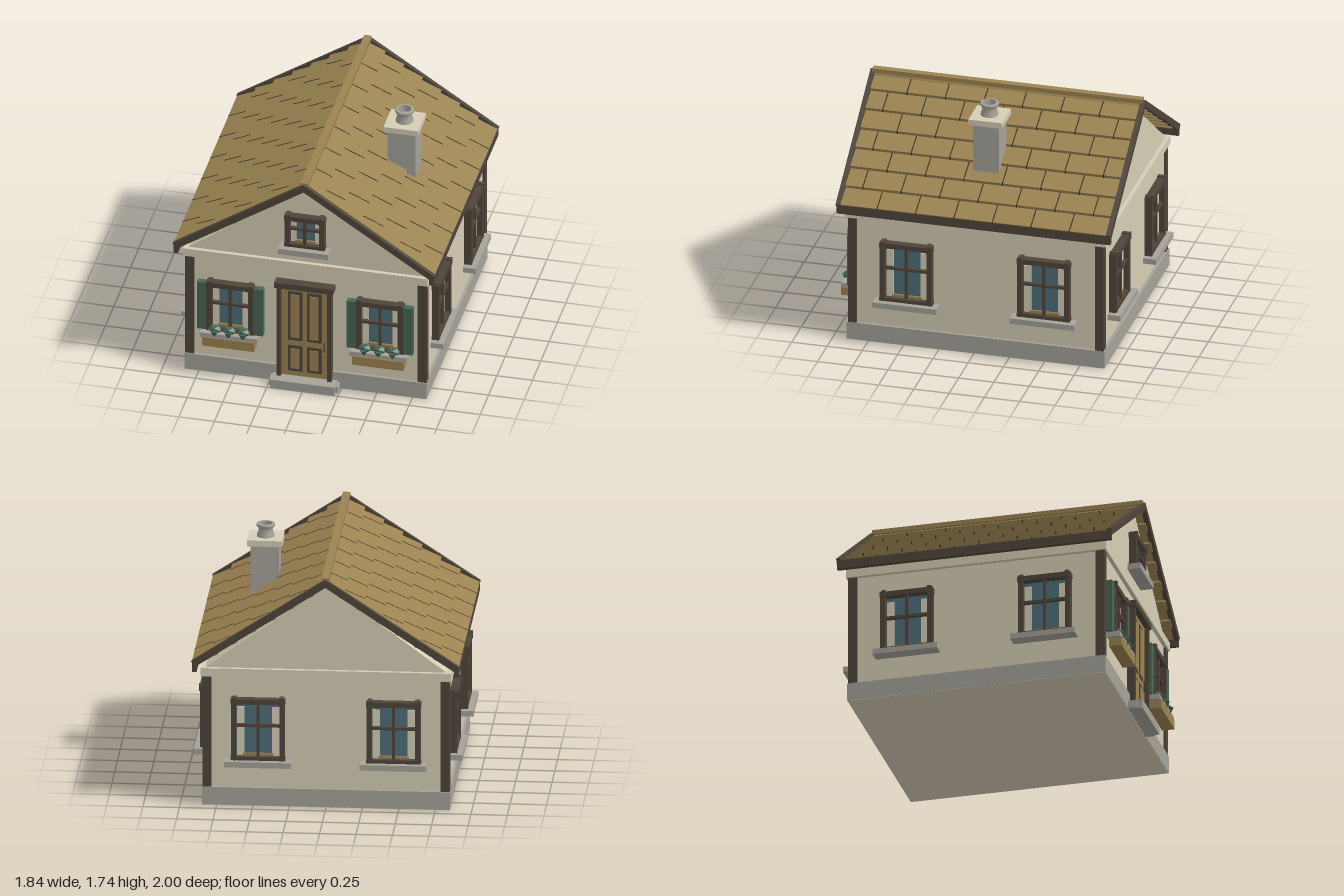
import * as THREE from 'three';

const mat = (name, color) => {
  const m = new THREE.MeshStandardMaterial({ color });
  m.name = name;
  return m;
};

const wallMat = mat('cream plaster', 0xd6cdb5);
const stoneMat = mat('grey stone', 0xa5a299);
const woodMat = mat('dark timber', 0x4f453a);
const tileMat = mat('ochre wood', 0x9b8351);
const glassMat = mat('blue glass', 0x4e6e7b);
const greenMat = mat('shutter green', 0x476656);
const seamMat = mat('roof seam', 0x3d3328);

// Box given by its extents on each axis
function box(parent, name, m, [x0, x1], [y0, y1], [z0, z1]) {
  const mesh = new THREE.Mesh(new THREE.BoxGeometry(x1 - x0, y1 - y0, z1 - z0), m);
  mesh.position.set((x0 + x1) / 2, (y0 + y1) / 2, (z0 + z1) / 2);
  mesh.name = name;
  parent.add(mesh);
  return mesh;
}

function group(parent, name, x = 0, y = 0, z = 0, ry = 0) {
  const g = new THREE.Group();
  g.name = name;
  g.position.set(x, y, z);
  g.rotation.y = ry;
  parent.add(g);
  return g;
}

// Window facing +z on the wall plane z = 0; origin at the bottom centre of the frame
function addWindow(parent, name, x, y, z, ry, w, h, sillW, sillH = 0.04) {
  const g = group(parent, name, x, y, z, ry);
  const a = w / 2, t = 0.039, inner = a - t;
  box(g, 'glass', glassMat, [-inner, inner], [0, h - t], [-0.01, 0.006]);
  for (const s of [-1, 1]) {
    const span = (p, q) => [Math.min(s * p, s * q), Math.max(s * p, s * q)];
    box(g, 'frameSide', woodMat, span(inner, a - 0.003), [0, h - 0.02], [0, 0.052]);
    box(g, 'frameEar', woodMat, span(inner - 0.002, a - 0.01), [h - 0.05, h], [0, 0.06]);
    box(g, 'curtain', wallMat, span(inner * 0.64, inner * 0.99), [0.01, h - t - 0.035], [0.006, 0.012]);
  }
  box(g, 'frameTop', woodMat, [-a, a], [h - 0.047, h - 0.01], [0, 0.056]);
  box(g, 'frameBottom', woodMat, [-a, a], [0, 0.025], [0, 0.05]);
  box(g, 'innerLedge', tileMat, [-inner * 0.7, inner * 0.7], [0.025, 0.044], [0.006, 0.02]);
  box(g, 'mullion', woodMat, [-0.01, 0.01], [0, h - 0.03], [0.015, 0.04]);
  box(g, 'transom', woodMat, [-inner, inner], [h * 0.55 - 0.01, h * 0.55 + 0.01], [0.015, 0.04]);
  box(g, 'sill', stoneMat, [-sillW / 2, sillW / 2], [-sillH, 0], [-0.01, 0.092]);
  return g;
}

const HW = 0.83, HD = 0.892; // wall half width and half depth

function addBody(house) {
  box(house, 'foundation', stoneMat, [-0.85, 0.85], [0.003, 0.13], [-0.913, 0.913]);
  box(house, 'floor', wallMat, [-0.847, 0.847], [0, 0.006], [-0.91, 0.91]);
  box(house, 'walls', wallMat, [-HW, HW], [0.13, 0.95], [-HD, HD]);
  box(house, 'wallPlate', wallMat, [-0.86, 0.86], [0.925, 0.985], [-0.92, 0.92]);
  for (const sx of [-1, 1]) for (const sz of [-1, 1]) {
    const cx = sx * 0.817, cz = sz * 0.875;
    box(house, 'cornerPost', woodMat, [cx - 0.031, cx + 0.031], [0.13, 0.925], [cz - 0.031, cz + 0.031]);
  }
  // Gable prism running through the house
  const tri = new THREE.Shape([[-0.825, 0.985], [0.825, 0.985], [0, 1.595]].map(p => new THREE.Vector2(...p)));
  const geo = new THREE.ExtrudeGeometry(tri, { depth: HD * 2, bevelEnabled: false });
  geo.translate(0, 0, -HD);
  const gable = new THREE.Mesh(geo, wallMat);
  gable.name = 'gable';
  house.add(gable);
}

// One roof slope: local x runs down the slope, local y is its normal
function addRoofSide(house, name, ry) {
  const side = group(house, name, 0, 1.653, 0, ry);
  const slope = group(side, 'slope');
  slope.rotation.z = -Math.atan(0.66);
  const L = 1.102, pitch = 0.157, half = 0.953, tileW = half * 2 / 7;
  box(slope, 'deck', tileMat, [0, L - 0.01], [-0.042, -0.034], [-half, half]);
  for (const s of [-1, 1])
    box(slope, 'bargeBoard', woodMat, [0, L], [-0.045, 0.001], [s * 0.957 - 0.016, s * 0.957 + 0.016]);
  for (let row = 0; row < 7; row++) {
    // Each course tilts so that its upper end tucks under the course above
    const len = row ? 0.185 : pitch;
    const course = group(slope, 'shingleCourse', pitch * (row + 1), -0.003, 0);
    course.rotation.z = 0.162;
    box(course, 'shingles', tileMat, [-len, 0], [-0.025, 0], [-half, half]);
    for (let k = 1; k < 7 + row % 2; k++) {
      const z = -half + (k - (row % 2) / 2) * tileW;
      box(course, 'seam', seamMat, [-pitch, 0.001], [-0.025, 0.0015], [z - 0.004, z + 0.004]);
    }
  }
  box(side, 'fascia', woodMat, [0.882, 0.913], [-0.68, -0.615], [-0.97, 0.97]);
}

function addChimney(house) {
  const g = group(house, 'chimney', 0.482, 0, 0);
  box(g, 'stack', stoneMat, [-0.097, 0.097], [1.255, 1.61], [-0.092, 0.092]);
  box(g, 'cap', wallMat, [-0.121, 0.121], [1.606, 1.648], [-0.119, 0.119]);
  const profile = [[0.062, 1.645], [0.06, 1.662], [0.051, 1.682], [0.051, 1.708], [0.057, 1.718],
    [0.065, 1.722], [0.065, 1.736], [0.06, 1.74], [0.045, 1.74]];
  const pot = new THREE.Mesh(new THREE.LatheGeometry(profile.map(p => new THREE.Vector2(...p)), 28), stoneMat);
  pot.name = 'chimneyPot';
  const bore = new THREE.Mesh(new THREE.CylinderGeometry(0.045, 0.045, 0.06, 28, 1, true), stoneMat.clone());
  bore.material.side = THREE.DoubleSide;
  bore.position.y = 1.71;
  bore.name = 'chimneyBore';
  const floor = new THREE.Mesh(new THREE.CircleGeometry(0.045, 28), stoneMat);
  floor.rotation.x = -Math.PI / 2;
  floor.position.y = 1.69;
  floor.name = 'chimneyPotFloor';
  g.add(pot, bore, floor);
}

function addDoor(house) {
  const g = group(house, 'door', -0.003, 0, HD);
  box(g, 'doorLeaf', tileMat, [-0.165, 0.165], [0.065, 0.79], [0, 0.03]);
  for (const s of [-1, 1]) {
    box(g, 'doorJamb', woodMat, [s * 0.178 - 0.014, s * 0.178 + 0.014], [0.065, 0.79], [0, 0.058]);
    for (const [y0, y1] of [[0.105, 0.31], [0.355, 0.75]]) {
      const x = s * 0.067;
      box(g, 'panelRecess', woodMat, [x - 0.052, x + 0.052], [y0, y1], [0.028, 0.034]);
      box(g, 'panel', tileMat, [x - 0.031, x + 0.031], [y0 + 0.022, y1 - 0.022], [0.03, 0.039]);
    }
  }
  box(g, 'doorLintel', woodMat, [-0.207, 0.207], [0.785, 0.828], [0, 0.07]);
  box(g, 'doorHandle', woodMat, [0.136, 0.141], [0.29, 0.37], [0.03, 0.046]);
  box(g, 'upperStep', stoneMat, [-0.222, 0.228], [0, 0.066], [0.021, 0.12]);
  box(g, 'lowerStep', stoneMat, [-0.238, 0.244], [0, 0.052], [0.021, 0.085]);
}

// Front window with shutters and a planter
function addFrontWindow(house, x) {
  const g = addWindow(house, 'frontWindow', x, 0.36, HD, 0, 0.335, 0.4, 0.4, 0.037);
  for (const s of [-1, 1])
    box(g, 'shutter', greenMat, [s * 0.196 - 0.036, s * 0.196 + 0.036], [0, 0.376], [0, 0.045]);
  box(g, 'flowerBox', tileMat, [-0.182, 0.182], [-0.1, -0.03], [0.01, 0.1]);
  for (const dx of [-0.1, 0, 0.1]) {
    const plant = new THREE.Mesh(new THREE.IcosahedronGeometry(0.052, 0), greenMat);
    plant.geometry.scale(1, 0.62, 0.7);
    plant.position.set(dx, 0.025, 0.062);
    plant.name = 'plant';
    const stem = new THREE.Mesh(new THREE.ConeGeometry(0.03, 0.06, 6), greenMat);
    stem.rotation.x = Math.PI;
    stem.position.set(dx, -0.005, 0.085);
    stem.name = 'stem';
    g.add(plant, stem);
  }
}

export function createModel() {
  const model = new THREE.Group();
  model.name = 'cottage';
  const house = group(model, 'house', 0, 0, -0.012);

  addBody(house);
  addRoofSide(house, 'leftRoof', 0);
  addRoofSide(house, 'rightRoof', Math.PI);
  box(house, 'ridgeCap', tileMat, [-0.026, 0.026], [1.632, 1.664], [-0.957, 0.957]);
  addChimney(house);
  addDoor(house);

  for (const s of [-1, 1]) {
    addFrontWindow(house, s * 0.526);
    addWindow(house, 'backWindow', s * 0.465, 0.335, -HD, Math.PI, 0.375, 0.45, 0.457);
    for (const e of [-1, 1])
      addWindow(house, 'sideWindow', s * HW, 0.335, e * 0.487, s * Math.PI / 2, 0.375, 0.45, 0.457);
  }
  addWindow(house, 'atticWindow', -0.002, 1.122, HD, 0, 0.285, 0.26, 0.35, 0.043);
  return model;
}
